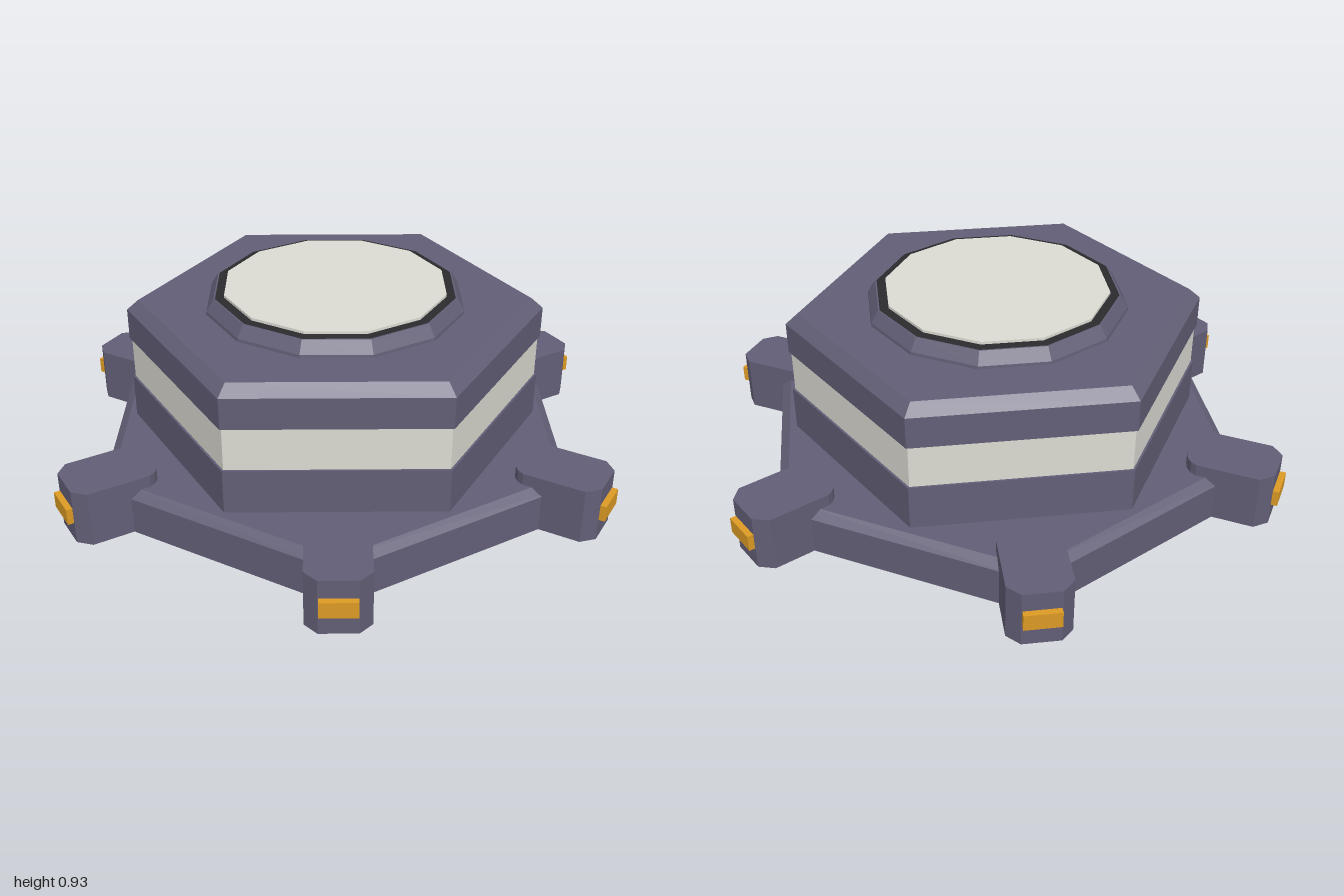
import * as THREE from 'three';

const mat = (name, color) => {
  const m = new THREE.MeshStandardMaterial({ color });
  m.name = name;
  return m;
};

export function createModel() {
  const hull = mat('hull grey', 0x625e76);
  const pale = mat('pale panel', 0xdcdbd3);
  const amber = mat('amber', 0xdb9a24);
  const dark = mat('dark trim', 0x2b2b2e);

  const model = new THREE.Group();
  model.name = 'station';

  const add = (parent, name, geometry, material, x = 0, y = 0, z = 0) => {
    const mesh = new THREE.Mesh(geometry, material);
    mesh.name = name;
    mesh.position.set(x, y, z);
    parent.add(mesh);
    return mesh;
  };

  // Faceted solid turned from a [radius, y] profile listed bottom to top
  const faceted = (sides, profile, turn = 0) => {
    const pts = profile.map(([r, y]) => new THREE.Vector2(r, y));
    const g = new THREE.LatheGeometry(pts, sides).toNonIndexed();
    g.rotateY(turn);
    g.computeVertexNormals();
    return g;
  };

  // Hexagonal base plate with chamfered rim
  add(model, 'basePlate', faceted(6, [
    [0, 0.29], [0.86, 0.29], [0.86, 0.415], [0.825, 0.44], [0, 0.44],
  ], Math.PI / 6), hull);

  // Upper hexagonal body: lower wall, inset pale band, chamfered roof
  add(model, 'lowerWall', faceted(6, [[0, 0.43], [0.69, 0.43], [0.69, 0.59], [0, 0.59]]), hull);
  add(model, 'windowBand', faceted(6, [[0.682, 0.59], [0.682, 0.735]]), pale);
  add(model, 'roof', faceted(6, [
    [0, 0.735], [0.69, 0.735], [0.69, 0.84], [0.65, 0.875], [0, 0.875],
  ]), hull);

  // Twelve-sided roof hatch: sloped collar, dark rim, pale lid
  const twelfth = Math.PI / 12;
  add(model, 'hatchCollar', faceted(12, [
    [0.432, 0.87], [0.43, 0.885], [0.405, 0.925], [0.398, 0.925],
  ], twelfth), hull);
  add(model, 'hatchRim', faceted(12, [[0.4, 0.925], [0.36, 0.926]], twelfth), dark);
  add(model, 'hatchLid', faceted(12, [
    [0.37, 0.926], [0.37, 0.935], [0, 0.935],
  ], twelfth), pale);

  // Six docking feet with a lamp on each outer end
  const s = new THREE.Shape();
  s.moveTo(0.735, -0.1);
  s.lineTo(0.94, -0.1);
  s.lineTo(0.98, -0.06);
  s.lineTo(0.98, 0.06);
  s.lineTo(0.94, 0.1);
  s.lineTo(0.735, 0.1);
  s.quadraticCurveTo(0.7, 0.09, 0.69, 0.045);
  s.lineTo(0.69, -0.045);
  s.quadraticCurveTo(0.7, -0.09, 0.735, -0.1);
  const footGeo = new THREE.ExtrudeGeometry(s, { depth: 0.19, bevelEnabled: false, curveSegments: 3 });
  footGeo.rotateX(-Math.PI / 2);
  const lampGeo = new THREE.BoxGeometry(0.03, 0.055, 0.115);
  for (let i = 0; i < 6; i++) {
    const arm = new THREE.Group();
    arm.name = 'dockingArm';
    arm.rotation.y = (i * Math.PI) / 3;
    add(arm, 'foot', footGeo, hull, 0, 0.29, 0);
    add(arm, 'lamp', lampGeo, amber, 0.985, 0.39, 0);
    model.add(arm);
  }

  // Underside craft: cylinder sections stacked along each module's own axis
  const stack = (group, sections) => {
    for (const [name, rStart, rEnd, from, to, material] of sections) {
      add(group, name, new THREE.CylinderGeometry(rEnd, rStart, to - from, 16), material, 0, (from + to) / 2, 0);
    }
  };

  // Hanging module, tilted slightly forward
  const mast = new THREE.Group();
  mast.name = 'hangingModule';
  mast.position.set(0, 0.004, 0.02);
  mast.rotation.x = -0.07;
  model.add(mast);
  stack(mast, [
    ['endCap', 0.036, 0.046, 0, 0.015, hull],
    ['endDrum', 0.046, 0.044, 0.015, 0.06, hull],
    ['amberRing', 0.044, 0.038, 0.06, 0.075, amber],
    ['neck', 0.036, 0.036, 0.075, 0.25, hull],
    ['darkRing', 0.044, 0.044, 0.115, 0.125, dark],
    ['collar', 0.054, 0.054, 0.155, 0.168, hull],
    ['darkRing', 0.042, 0.042, 0.135, 0.143, dark],
    ['amberRing', 0.04, 0.046, 0.247, 0.262, amber],
    ['mountFlare', 0.05, 0.07, 0.262, 0.29, dark],
  ]);
  add(mast, 'block', new THREE.BoxGeometry(0.085, 0.05, 0.09), hull, 0, 0.207, 0);
  add(mast, 'blockPanel', new THREE.BoxGeometry(0.05, 0.025, 0.097), dark, 0, 0.207, 0);
  add(mast, 'blockPanel', new THREE.BoxGeometry(0.092, 0.03, 0.06), dark, 0, 0.207, 0);

  // Rear module lying along the underside
  const rear = new THREE.Group();
  rear.name = 'rearModule';
  rear.position.set(0, 0.256, -0.02);
  rear.rotation.x = -Math.PI / 2;
  model.add(rear);
  stack(rear, [
    ['joint', 0.028, 0.028, 0, 0.07, dark],
    ['amberDrum', 0.03, 0.03, 0.07, 0.165, amber],
    ['darkRing', 0.033, 0.033, 0.11, 0.12, dark],
    ['rearNeck', 0.026, 0.026, 0.165, 0.3, hull],
    ['amberRing', 0.031, 0.031, 0.2, 0.215, amber],
    ['endDrum', 0.034, 0.034, 0.235, 0.285, hull],
    ['endRing', 0.03, 0.022, 0.285, 0.302, dark],
  ]);

  // Equipment rail under the rear module, with small pale fittings
  add(model, 'rail', new THREE.BoxGeometry(0.05, 0.03, 0.17), hull, 0, 0.165, -0.135);
  add(model, 'railTop', new THREE.BoxGeometry(0.065, 0.012, 0.16), hull, 0, 0.188, -0.14);
  add(model, 'railStrut', new THREE.BoxGeometry(0.02, 0.05, 0.03), dark, 0, 0.215, -0.085);
  for (const z of [-0.08, -0.18]) {
    for (const x of [-0.03, 0.03]) {
      add(model, 'fitting', new THREE.BoxGeometry(0.012, 0.014, 0.018), pale, x, 0.199, z);
    }
  }

  return model;
}
